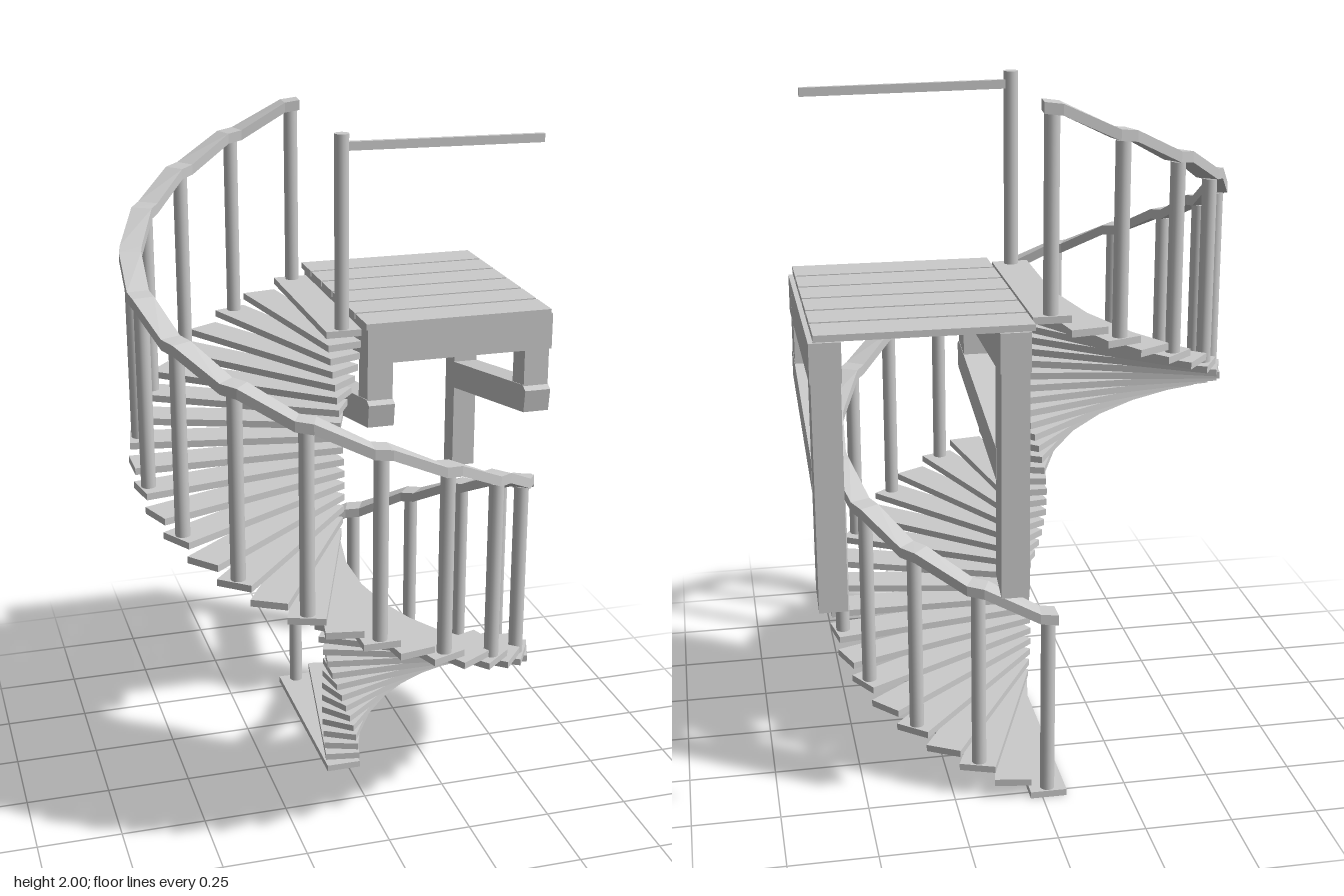
import * as THREE from 'three';

const material = new THREE.MeshStandardMaterial({ color: 0xcccccc });
const CX = -0.045, CZ = 0.055;            // axis of the spiral
const STEPS = 37, RISE = 1.42 / 36, TURN = Math.PI / 18;
const MID = 0.0275, POST_R = 0.565;       // post position on a tread

function add(parent, geometry, name, x = 0, y = 0, z = 0) {
  const mesh = new THREE.Mesh(geometry, material);
  mesh.name = name;
  mesh.position.set(x, y, z);
  parent.add(mesh);
  return mesh;
}

// Timber with a side outline of [z, y] points, running from x0 to x0 + width
function timber(parent, name, outline, x0, width) {
  const shape = new THREE.Shape(outline.map(([z, y]) => new THREE.Vector2(z, y)));
  const geometry = new THREE.ExtrudeGeometry(shape, { depth: width, bevelEnabled: false });
  geometry.rotateY(-Math.PI / 2).translate(x0 + width, 0, 0);
  add(parent, geometry, name);
}

// Rectangular handrail swept along the spiral, with a flatter stretch over every post
function handrailGeometry() {
  const sections = [];
  const first = Math.atan2(MID, POST_R), flat = 0.042;
  const section = (angle, top) => {
    const corner = (r, y) => [CX + r * Math.sin(angle), y, CZ - r * Math.cos(angle)];
    sections.push([corner(0.535, top - 0.03), corner(0.597, top - 0.03), corner(0.597, top), corner(0.535, top)]);
  };
  for (let k = 0; k < STEPS; k += 2) {
    const angle = first + k * TURN, top = 0.58 + k * RISE;
    section(angle - flat, top - 0.003);
    section(angle + flat, top + 0.003);
  }
  const pos = [];
  const quad = (a, b, c, d) => pos.push(...a, ...b, ...c, ...a, ...c, ...d);
  for (let i = 0; i < sections.length - 1; i++) {
    const s = sections[i], t = sections[i + 1];
    for (let j = 0; j < 4; j++) {
      const n = (j + 1) % 4;
      quad(s[j], s[n], t[n], t[j]);
    }
  }
  const s = sections[0], e = sections[sections.length - 1];
  quad(s[3], s[2], s[1], s[0]);
  quad(e[0], e[1], e[2], e[3]);
  const geometry = new THREE.BufferGeometry();
  geometry.setAttribute('position', new THREE.Float32BufferAttribute(pos, 3));
  geometry.computeVertexNormals();
  return geometry;
}

export function createModel() {
  const model = new THREE.Group();
  model.name = 'spiralStaircase';

  // Treads, with a baluster on every second one
  const treadGeometry = new THREE.BoxGeometry(0.105, 0.02, 0.615);
  const balusterGeometry = new THREE.CylinderGeometry(0.021, 0.021, 0.54, 16);
  const stairs = new THREE.Group();
  stairs.name = 'stairs';
  model.add(stairs);
  for (let k = 0; k < STEPS; k++) {
    const step = new THREE.Group();
    step.name = 'step';
    step.position.set(CX, k * RISE, CZ);
    step.rotation.y = -k * TURN;
    stairs.add(step);
    add(step, treadGeometry, 'tread', MID, 0.01, -0.2825);
    if (k % 2 === 0) add(step, balusterGeometry, 'baluster', MID, 0.28, -POST_R);
  }

  const rail = add(model, handrailGeometry(), 'handrail');
  rail.material = material.clone();
  rail.material.side = THREE.DoubleSide;

  // Inner post at the top of the stairs and its guard bar
  add(model, new THREE.CylinderGeometry(0.021, 0.021, 0.57, 16), 'newelPost', CX + MID, 1.715, CZ);
  const bar = add(model, new THREE.BoxGeometry(0.6, 0.025, 0.015), 'guardBar', 0.285, 1.96, 0.052);
  bar.rotation.z = -0.012;

  // Landing planks
  const landing = new THREE.Group();
  landing.name = 'landing';
  model.add(landing);
  for (let i = 0; i < 6; i++) {
    add(landing, new THREE.BoxGeometry(0.57, 0.018, 0.112), 'plank', 0.335, 1.444, 0.024 - i * 0.1224);
  }

  // Landing frame: both sides alike, joined by a beam at the front
  for (const x of [0.06, 0.55]) {
    timber(landing, 'sideBeam', [[-0.04, 1.325], [-0.04, 1.434], [-0.648, 1.434], [-0.648, 1.325]], x, 0.083);
    timber(landing, 'rearLeg', [[-0.56, 0.725], [-0.56, 1.43], [-0.644, 1.43], [-0.644, 0.69]], x + 0.003, 0.077);
    timber(landing, 'frontPost', [[0.05, 1.18], [0.05, 1.34], [-0.04, 1.34], [-0.04, 1.16]], x + 0.003, 0.077);
    timber(landing, 'brace', [[0.06, 1.13], [0.07, 1.2], [0.045, 1.212], [-0.57, 1.095], [-0.57, 1.005]], x + 0.001, 0.08);
  }
  add(landing, new THREE.BoxGeometry(0.573, 0.109, 0.1), 'frontBeam', 0.3465, 1.3795, 0.012);
  return model;
}
